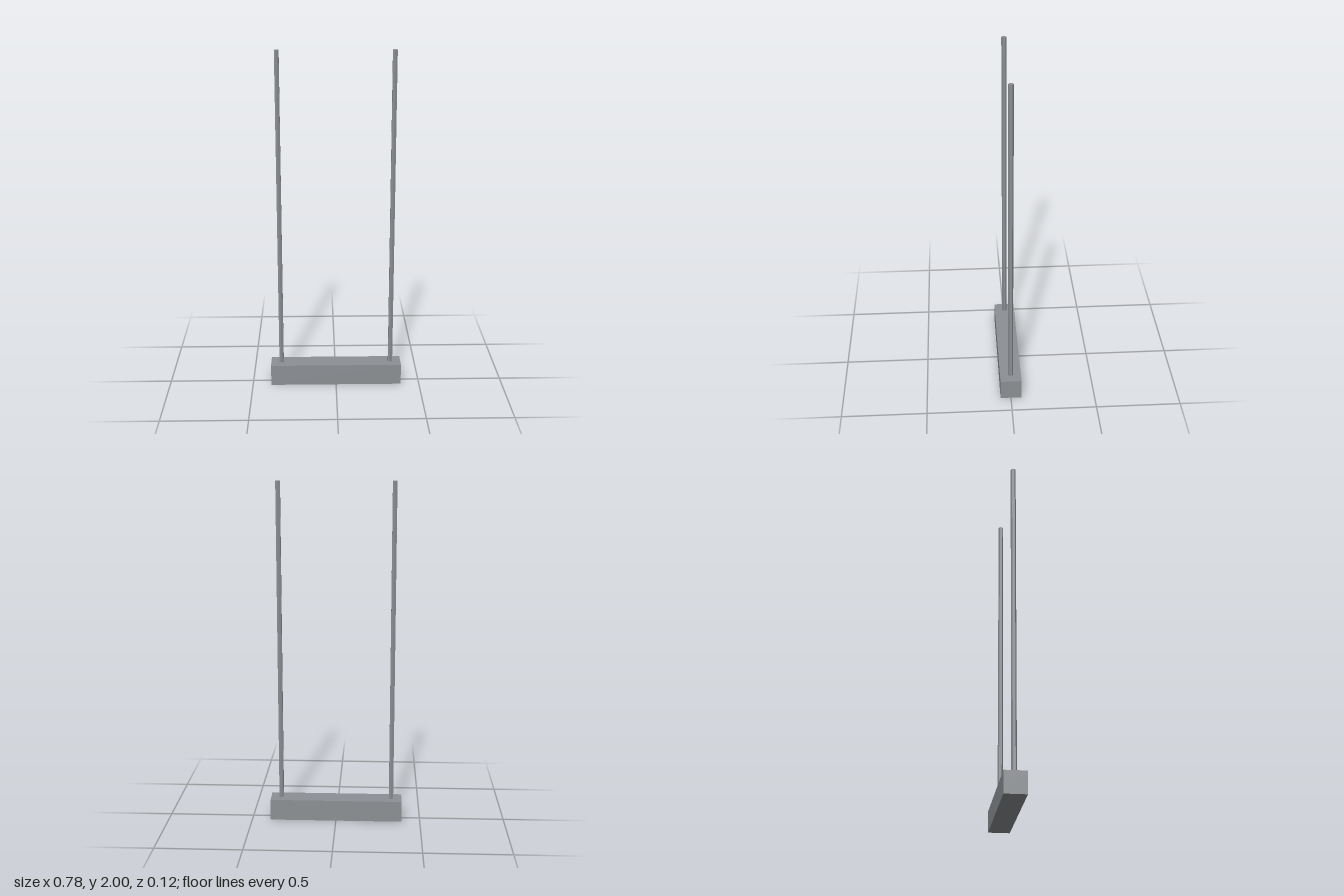
import * as THREE from 'three';

export function createModel() {
  const model = new THREE.Group();
  const greyMetal = new THREE.MeshStandardMaterial({ color: 0x8c9094, flatShading: true });
  greyMetal.name = 'greyMetal';

  // Weighted bar at the bottom
  const barHeight = 0.125;
  const bar = new THREE.Mesh(new THREE.BoxGeometry(0.78, barHeight, 0.125), greyMetal);
  bar.name = 'bar';
  bar.position.y = barHeight / 2;
  model.add(bar);

  // Two hexagonal rods rising from the bar
  const rodLength = 2 - barHeight;
  const rodGeometry = new THREE.CylinderGeometry(0.015, 0.015, rodLength, 6);
  for (const [name, side] of [['leftRod', 1], ['rightRod', -1]]) {
    const rod = new THREE.Mesh(rodGeometry, greyMetal);
    rod.name = name;
    rod.position.set(side * 0.328, barHeight + rodLength / 2, 0);
    model.add(rod);
  }

  return model;
}
